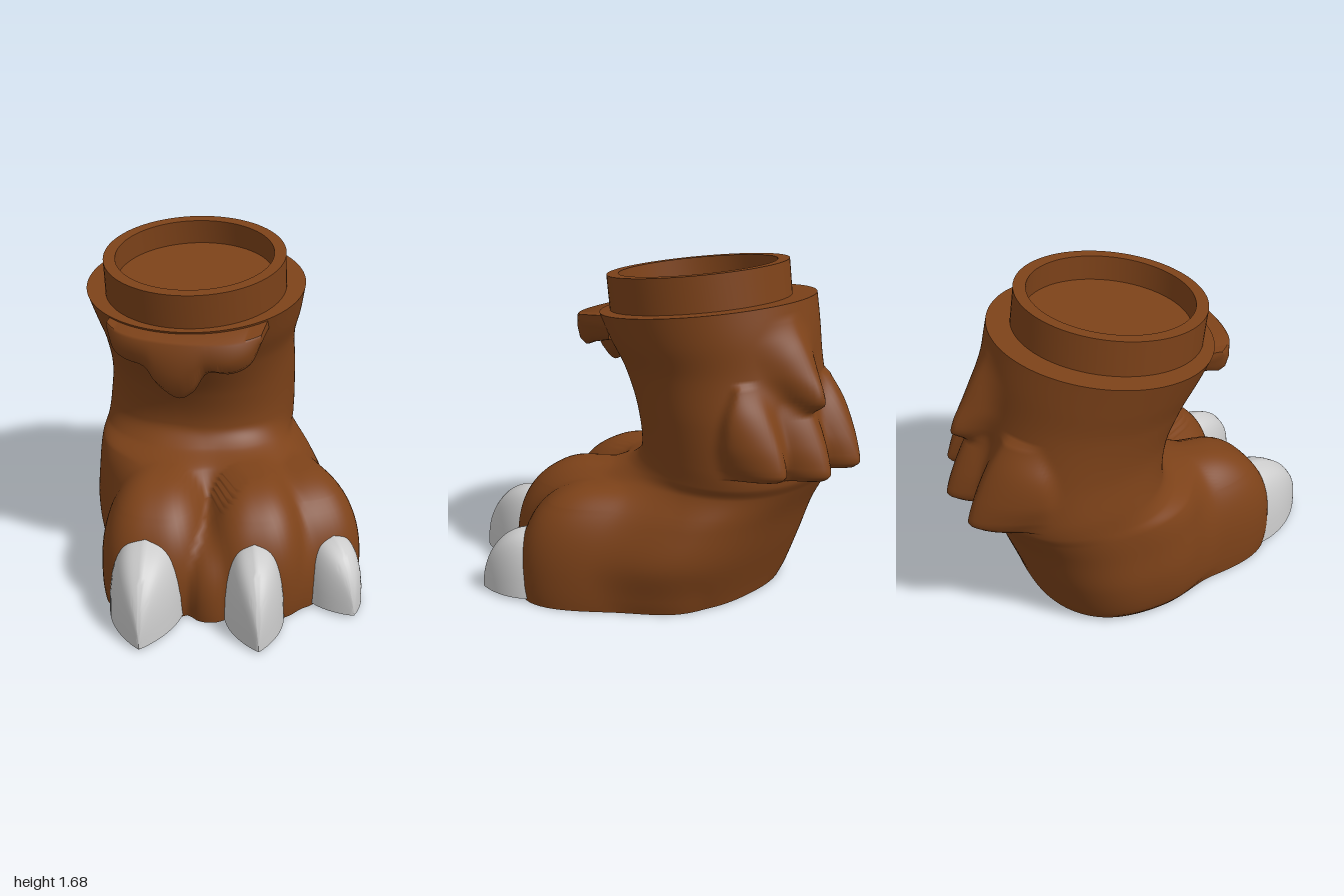
import * as THREE from 'three';
import { toCreasedNormals } from 'three/addons/utils/BufferGeometryUtils.js';

const V = (x, y, z) => new THREE.Vector3(x, y, z);
const brown = new THREE.MeshStandardMaterial({ color: 0x7d4219 });
const grey = new THREE.MeshStandardMaterial({ color: 0xcccccc });

// Skin closed rings of points; caps get their own vertices so the rims stay sharp
function loft(rings, capStart = true, capEnd = true) {
  const pos = [], idx = [], n = rings[0].length;
  const push = p => pos.push(p.x, p.y, p.z) / 3 - 1;
  rings.forEach(r => r.forEach(push));
  for (let i = 0; i < rings.length - 1; i++) {
    for (let j = 0; j < n; j++) {
      const a = i * n + j, b = i * n + (j + 1) % n;
      idx.push(a, a + n, b, b, a + n, b + n);
    }
  }
  const cap = (ring, flip) => {
    const first = pos.length / 3;
    ring.forEach(push);
    const c = push(ring.reduce((s, p) => s.add(p), V(0, 0, 0)).divideScalar(n));
    for (let j = 0; j < n; j++) {
      const a = first + j, b = first + (j + 1) % n;
      flip ? idx.push(c, b, a) : idx.push(c, a, b);
    }
  };
  if (capStart) cap(rings[0], false);
  if (capEnd) cap(rings[rings.length - 1], true);
  const g = new THREE.BufferGeometry();
  g.setAttribute('position', new THREE.Float32BufferAttribute(pos, 3));
  g.setIndex(idx);
  g.computeVertexNormals();
  return g;
}

function add(group, name, geometry, material = brown) {
  const m = new THREE.Mesh(geometry, material);
  m.name = name;
  group.add(m);
  return m;
}

// Smooth interpolation of table rows by their first column
function rowAt(rows, y) {
  let i = 0;
  while (i < rows.length - 2 && y > rows[i + 1][0]) i++;
  const at = k => rows[Math.min(Math.max(k, 0), rows.length - 1)];
  const [p, a, b, q] = [at(i - 1), at(i), at(i + 1), at(i + 2)];
  const h = b[0] - a[0], t = (y - a[0]) / h;
  return a.map((v, k) => {
    const ma = (b[k] - p[k]) / (b[0] - p[0]) * h, mb = (q[k] - v) / (q[0] - a[0]) * h;
    return v + t * (ma + t * (3 * (b[k] - v) - 2 * ma - mb + t * (2 * (v - b[k]) + ma + mb)));
  });
}

// Leg extents by height: y, right x, left x, front z, back z
const SECTIONS = [
  [0, -.64, .42, .30, -.58], [.06, -.69, .46, .33, -.60], [.25, -.73, .50, .33, -.67],
  [.45, -.73, .40, .30, -.74], [.6, -.73, .275, .22, -.81], [.66, -.725, .265, .11, -.84],
  [.75, -.72, .265, .05, -.84], [.95, -.70, .27, .09, -.83], [1.15, -.71, .28, .19, -.79],
  [1.3, -.74, .32, .27, -.765], [1.447, -.77, .35, .335, -.73]
];

// Toe lobes and the pads between them: centre, radii, yaw
const TOES = [
  { c: [-.27, .15, .25], r: [.3, .475, .47], yaw: .08 },
  { c: [.18, .15, .20], r: [.28, .475, .44], yaw: .28 },
  { c: [.36, .13, 0], r: [.27, .455, .42], yaw: .66 },
  { c: [.02, .08, .3], r: [.13, .36, .39], yaw: .1 },
  { c: [.34, .08, .15], r: [.13, .36, .33], yaw: .45 }
];

// Back fur tufts: rows of y, outer z, half width
const UPPER = [[1.0, -.90, .09], [1.03, -.955, .1], [1.07, -.95, .13], [1.16, -.89, .18],
  [1.28, -.81, .18], [1.38, -.73, .1]];
const LOWER = [[.69, -.96, .15], [.715, -.99, .16], [.76, -.985, .18], [.86, -.945, .2],
  [.98, -.875, .18], [1.1, -.78, .1]];
const TUFTS = [
  { rows: UPPER, x: -.17, dy: 0, dz: 0, w: 1 },
  { rows: LOWER, x: -.43, dy: 0, dz: 0, w: 1.05 },
  { rows: LOWER, x: -.17, dy: 0, dz: -.01, w: 1.05 },
  { rows: LOWER, x: .06, dy: .03, dz: .08, w: .8 }
];

const smin = (a, b, k) => {
  const h = Math.max(k - Math.abs(a - b), 0) / k;
  return Math.min(a, b) - h * h * k / 4;
};
const supNorm = (n, ...v) => Math.pow(v.reduce((s, a) => s + Math.pow(Math.abs(a), n), 0), 1 / n);

// Everything about one height that the field needs
function levelAt(y) {
  const [, xr, xl, zf, zb] = rowAt(SECTIONS, y);
  const tufts = TUFTS.filter(({ rows, dy }) => y - dy > rows[0][0] && y - dy < rows[rows.length - 1][0])
    .map(({ rows, x, dy, dz, w }) => {
      const [, z, rx] = rowAt(rows, y - dy);
      return { x, rx: rx * w, rz: -.68 - z - dz };
    });
  return { cx: (xr + xl) / 2, cz: (zf + zb) / 2, rx: (xl - xr) / 2, rz: (zf - zb) / 2, tufts,
    n: 2.4 - .4 * THREE.MathUtils.smoothstep(y, .5, 1.3) };
}

// Smoothly blended field of the leg, its tufts and the toes, which run back into the foot
function field(x, y, z, s) {
  let d = (supNorm(s.n, (x - s.cx) / s.rx, (z - s.cz) / s.rz) - 1) * Math.min(s.rx, s.rz);
  for (const t of s.tufts) {
    d = smin(d, (supNorm(1.5, (x - t.x) / t.rx, (z + .68) / t.rz) - 1) * Math.min(t.rx, t.rz), .04);
  }
  if (y > .75) return d;
  let toes = 9;
  for (const { c, r, yaw } of TOES) {
    const dx = x - c[0], dz = z - c[2], co = Math.cos(yaw), si = Math.sin(yaw);
    const along = (dx * si + dz * co) / r[2];
    const plan = supNorm(2.8, (dx * co - dz * si) / r[0], along < 0 ? along * along * .7 : along);
    toes = smin(toes, (supNorm(2.3, plan, (y - c[1]) / r[1]) - 1) * .3, .04);
  }
  return smin(d, toes, .09);
}

// Ring of the blended skin at one height, tilted towards the rim
function skinRing(y) {
  const s = levelAt(y), tilt = .13 * THREE.MathUtils.smoothstep(y, .8, 1.447), ring = [];
  for (let j = 0; j < 180; j++) {
    const a = j / 180 * Math.PI * 2, c = Math.cos(a), d = Math.sin(a);
    const f = r => field(s.cx + r * c, y, s.cz + r * d, s);
    let hi = 1.2;
    while (hi > .1 && f(hi - .02) > 0) hi -= .02;
    let lo = hi - .02;
    for (let k = 0; k < 9; k++) {
      const m = (lo + hi) / 2;
      if (f(m) > 0) hi = m; else lo = m;
    }
    const z = s.cz + lo * d;
    ring.push(V(s.cx + lo * c, y - tilt * (z + .16), z));
  }
  return ring;
}

// Claw: ridged arch sections shrinking from a base point to a tip
function claw(base, tip, w, h) {
  const len = Math.hypot(tip[0] - base[0], tip[1] - base[1]), rings = [];
  for (let i = 0; i <= 20; i++) {
    const t = i < 2 ? -.3 + i * .15 : Math.sin((i - 2) / 18 * Math.PI / 2);
    const k = Math.max(1 - Math.max(t, 0) ** 2, 0), ring = [];
    for (let j = 0; j <= 24; j++) {
      const u = j / 12 - 1, e = Math.abs(u);
      ring.push(V(w * u * (1 - .1 * e ** 10) * k ** .9,
        .012 + h * Math.sqrt(k) * (1 - .14 * e - .86 * e ** 4.5), t * len));
    }
    rings.push(ring);
  }
  const g = toCreasedNormals(loft(rings), .7);
  g.rotateY(Math.atan2(tip[0] - base[0], tip[1] - base[1]));
  return g.translate(base[0], 0, base[1]);
}

// Scalloped fur flap hanging below the front of the rim
function frontFlap() {
  const edge = new THREE.CatmullRomCurve3([
    [-.54, 1.35], [-.50, 1.25], [-.43, 1.22], [-.32, 1.2], [-.26, 1.12], [-.15, 1.06],
    [-.08, 1.1], [-.01, 1.2], [.1, 1.195], [.18, 1.23], [.23, 1.34]
  ].map(([x, y]) => V(x, y, 0)));
  const rings = edge.getPoints(60).map(({ x, y }) => {
    const dx = x + .155, zf = .43 - .55 * dx ** 2 - 20 * dx ** 6;
    const top = 1.362 + .13 * (.43 - zf), h = top - y;
    return [[y + h * .3, zf - .22], [y + h * .12, zf - .1], [y, zf - .05], [y + h * .12, zf - .015],
      [y + h * .45, zf], [top - .01, zf], [top, zf - .01], [top + .022, zf - .2]]
      .map(([py, pz]) => V(x, py, pz));
  });
  return toCreasedNormals(loft(rings), .8);
}

export function createModel() {
  const model = new THREE.Group();

  // Leg and foot skin with back tufts, rows packed closely over the toe tops and ledges
  const heights = [];
  for (let y = 0; y < .5; y += .025) heights.push(y);
  for (let y = .5; y < .76; y += .005) heights.push(y);
  for (let y = .76; y < 1.43; y += .015) heights.push(y);
  heights.push(1.447);
  const rings = heights.map(skinRing);
  add(model, 'legAndFoot', loft(rings, false, true));

  // Sole with a cross-shaped slot
  const sole = new THREE.Shape(rings[0].map(p => new THREE.Vector2(p.x, p.z)));
  const cross = [[-.05, -.45], [-.01, -.45], [-.01, .18], [.17, .18], [.17, .22], [-.01, .22],
    [-.01, .5], [-.05, .5], [-.05, .22], [-.23, .22], [-.23, .18], [-.05, .18]];
  sole.holes.push(new THREE.Path(cross.map(p => new THREE.Vector2(...p))));
  const soleGeo = new THREE.ExtrudeGeometry(sole, { depth: .04, bevelEnabled: false });
  add(model, 'sole', soleGeo.rotateX(Math.PI / 2).translate(0, .04, 0));
  add(model, 'slotFloor', new THREE.BoxGeometry(.5, .02, 1).translate(-.03, .05, .02));

  // Collar with a round recess, tilted like the rim
  const profile = [[.46, -.05], [.46, .177], [.4, .177], [.4, .05], [0, .05]];
  const collar = new THREE.LatheGeometry(profile.map(p => new THREE.Vector2(...p)), 80);
  const ring = add(model, 'collar', toCreasedNormals(collar, .5));
  ring.position.set(-.2, 1.447, -.158);
  ring.rotation.x = .13;

  add(model, 'frontFurFlap', frontFlap());

  // Claws
  add(model, 'innerClaw', claw([-.265, .61], [-.2, .995], .21, .41), grey);
  add(model, 'middleClaw', claw([.27, .58], [.36, .885], .165, .4), grey);
  add(model, 'outerClaw', claw([.605, .28], [.755, .475], .16, .335), grey);
  return model;
}
